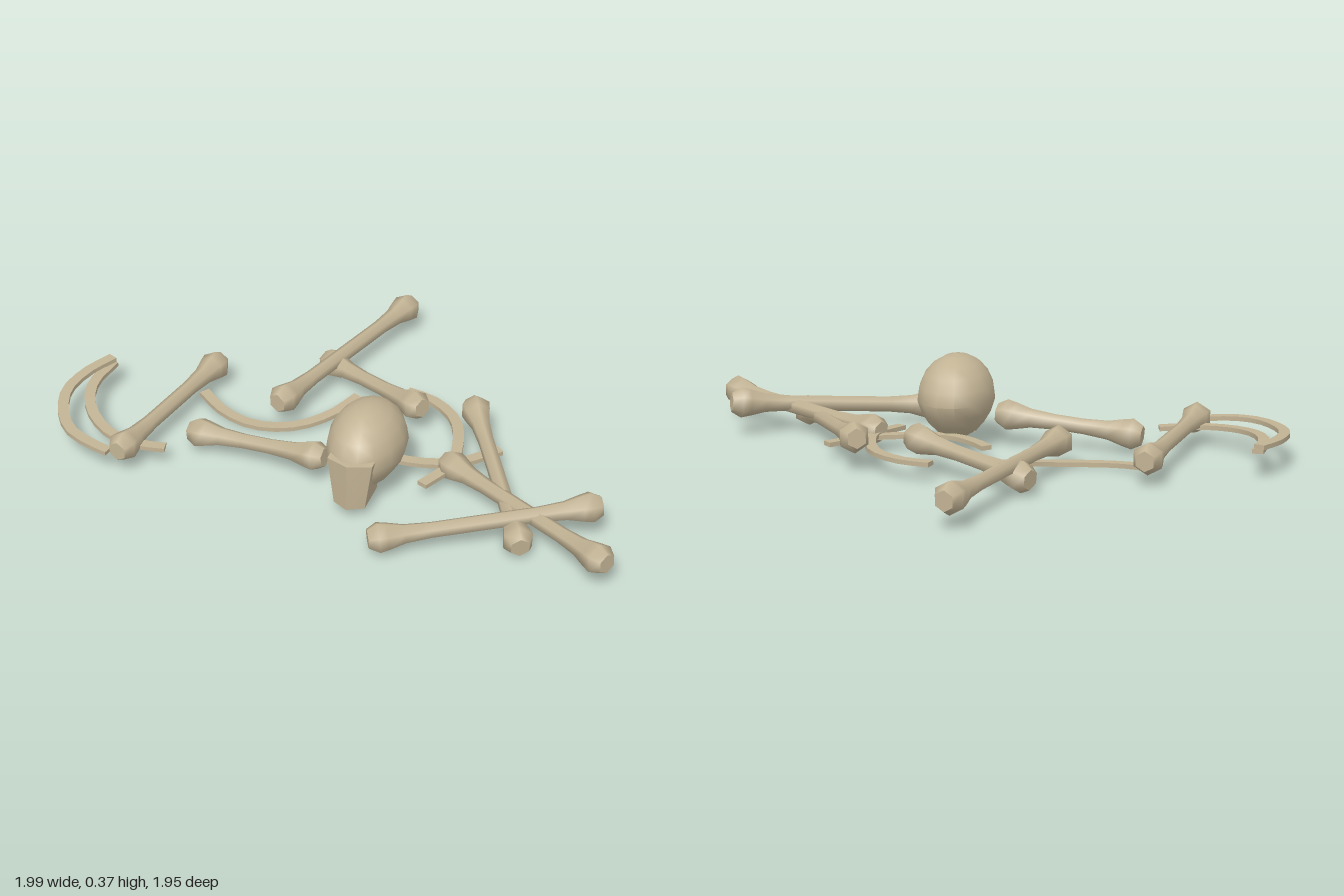
import * as THREE from 'three';
import { mergeGeometries, toCreasedNormals } from 'three/addons/utils/BufferGeometryUtils.js';

const bone = new THREE.MeshStandardMaterial({ color: 0xc2b394 });
bone.name = 'old bone';
const UP = new THREE.Vector3(0, 1, 0);

// Six-sided long bone with flared knuckles; a and b are the knuckle centres
function longBone(name, a, b) {
  const p = new THREE.Vector3(...a), q = new THREE.Vector3(...b);
  const dir = q.clone().sub(p), h = dir.length() / 2 + 0.04;
  dir.normalize();
  const half = [[0.04, 0], [0.063, 0.04], [0.056, 0.075], [0.039, 0.14], [0.032, 0.24]];
  const profile = [
    ...half.map(([r, d]) => new THREE.Vector2(r, d - h)),
    ...half.slice().reverse().map(([r, d]) => new THREE.Vector2(r, h - d)),
  ];
  const cap = (s) => new THREE.CircleGeometry(0.04, 6, Math.PI / 2).rotateX(-s * Math.PI / 2).translate(0, s * h, 0);
  const geo = mergeGeometries([new THREE.LatheGeometry(profile, 6), cap(1), cap(-1)]);
  const side = dir.clone().cross(UP).normalize();
  const top = side.clone().cross(dir);
  geo.applyMatrix4(new THREE.Matrix4().makeBasis(side, dir, top).setPosition(p.add(q).multiplyScalar(0.5)));
  const mesh = new THREE.Mesh(geo, bone);
  mesh.name = name;
  return mesh;
}

// Curved flat strip with a rectangular section
function rib(name, points) {
  const curve = new THREE.CatmullRomCurve3(points.map((p) => new THREE.Vector3(...p)));
  const n = 12, pos = [], index = [];
  const section = [[-0.022, -0.009], [0.022, -0.009], [0.022, 0.009], [-0.022, 0.009]];
  for (let i = 0; i <= n; i++) {
    const c = curve.getPointAt(i / n), t = curve.getTangentAt(i / n);
    const side = t.clone().cross(UP).normalize(), top = side.clone().cross(t);
    for (const [u, v] of section) {
      pos.push(...c.clone().addScaledVector(side, u).addScaledVector(top, v).toArray());
    }
  }
  for (let i = 0; i < n; i++) {
    for (let k = 0; k < 4; k++) {
      const a = i * 4 + k, b = i * 4 + (k + 1) % 4;
      index.push(a, b + 4, b, a, a + 4, b + 4);
    }
  }
  const e = n * 4;
  index.push(0, 1, 2, 0, 2, 3, e, e + 2, e + 1, e, e + 3, e + 2);
  // Orient every face outwards whatever the section's handedness
  const mid = (j) => new THREE.Vector3().fromArray(pos, j * 3);
  const normal = mid(1).sub(mid(0)).cross(mid(2).sub(mid(0)));
  if (normal.dot(curve.getTangentAt(0)) > 0) index.reverse();
  const geo = new THREE.BufferGeometry();
  geo.setAttribute('position', new THREE.Float32BufferAttribute(pos, 3));
  geo.setIndex(index);
  const mesh = new THREE.Mesh(toCreasedNormals(geo, 0.6), bone);
  mesh.name = name;
  return mesh;
}

// Rounded cranium with a blocky face, turned on the ground
function skull() {
  const group = new THREE.Group();
  group.name = 'skull';
  const dome = new THREE.SphereGeometry(1, 14, 10);
  const p = dome.attributes.position;
  for (let i = 0; i < p.count; i++) {
    const x = p.getX(i), y = p.getY(i), z = p.getZ(i);
    const low = Math.max(0, -y), front = Math.max(0, z);
    p.setXYZ(i, x * 0.155 * (1 - 0.2 * low) * (1 - 0.08 * front), 0.205 + y * (y > 0 ? 0.175 : 0.165), z * 0.22 * (1 - 0.15 * low));
  }
  dome.computeVertexNormals();
  const cranium = new THREE.Mesh(toCreasedNormals(dome, 0.7), bone);
  cranium.name = 'cranium';

  const block = new THREE.BoxGeometry(0.18, 0.2, 0.16, 2, 2, 1);
  const f = block.attributes.position;
  for (let i = 0; i < f.count; i++) {
    const x = f.getX(i), y = f.getY(i), z = f.getZ(i);
    const low = 0.5 - y / 0.2, ahead = z > 0 ? 1 : 0;
    f.setXYZ(i, x * (1 - 0.3 * low), y + 0.15, z + 0.14 + ahead * (x === 0 ? 0.015 : -0.02));
  }
  const face = new THREE.Mesh(toCreasedNormals(block, 0.3), bone);
  face.name = 'face';
  group.add(cranium, face);
  group.position.set(0.172, 0, 0.185);
  group.rotation.y = -0.5;
  return group;
}

export function createModel() {
  const model = new THREE.Group();
  model.name = 'bonePile';
  const bones = [
    [[-0.757, 0.11, -0.07], [-0.33, 0.105, -0.61]],
    [[-0.445, 0.085, -0.16], [-0.02, 0.13, 0.13]],
    [[-0.09, 0.12, -0.295], [0.535, 0.115, -0.925]],
    [[0.16, 0.075, -0.6], [0.43, 0.135, -0.15]],
    [[0.66, 0.14, -0.08], [0.66, 0.07, 0.7]],
    [[0.505, 0.09, 0.215], [0.91, 0.125, 0.92]],
    [[0.145, 0.075, 0.61], [0.955, 0.14, 0.625]],
  ];
  bones.forEach(([a, b], i) => model.add(longBone('longBone' + (i + 1), a, b)));

  const ribs = [
    [[-0.75, 0.135, -0.68], [-0.86, 0.13, -0.6], [-0.95, 0.125, -0.48], [-0.975, 0.12, -0.34], [-0.955, 0.115, -0.21], [-0.89, 0.11, -0.12], [-0.815, 0.1, -0.06]],
    [[-0.75, 0.115, -0.67], [-0.84, 0.115, -0.53], [-0.865, 0.11, -0.4], [-0.84, 0.1, -0.27], [-0.77, 0.09, -0.16], [-0.69, 0.085, -0.11], [-0.59, 0.08, -0.08]],
    [[-0.39, 0.04, -0.51], [-0.32, 0.025, -0.375], [-0.21, 0.015, -0.28], [-0.05, 0.02, -0.24], [0.11, 0.04, -0.275], [0.23, 0.055, -0.36]],
    [[0.43, 0.08, -0.33], [0.52, 0.08, -0.25], [0.58, 0.08, -0.11], [0.565, 0.08, 0.05], [0.5, 0.075, 0.2], [0.37, 0.07, 0.3]],
    [[0.16, 0.08, -0.17], [0.18, 0.08, -0.07], [0.24, 0.075, 0.07], [0.38, 0.07, 0.15], [0.54, 0.07, 0.175], [0.72, 0.07, 0.12]],
  ];
  ribs.forEach((points, i) => model.add(rib('rib' + (i + 1), points)));

  model.add(skull());
  return model;
}
